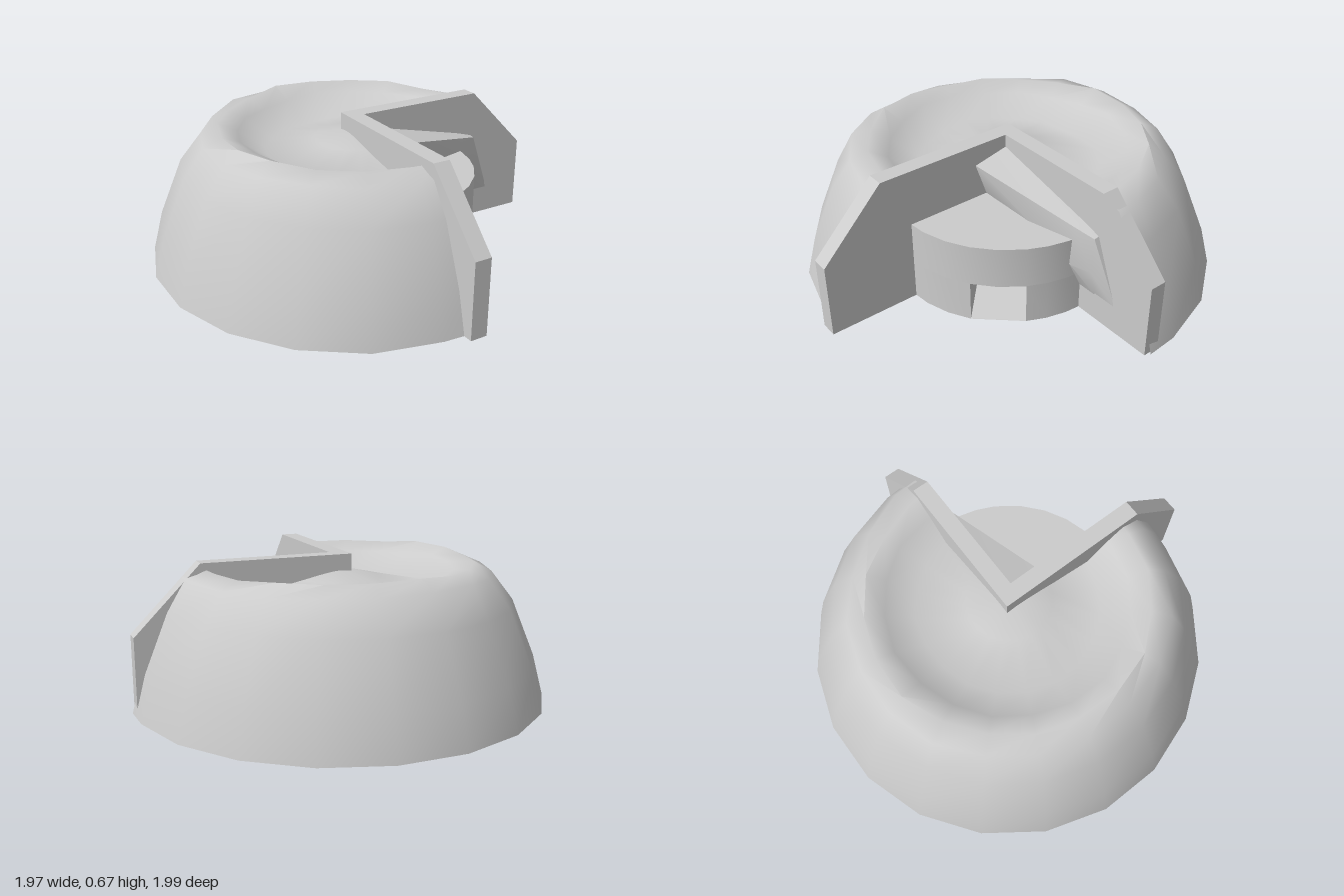
import * as THREE from 'three';
import { mergeVertices, toCreasedNormals } from 'three/addons/utils/BufferGeometryUtils.js';

const mat = new THREE.MeshStandardMaterial({ color: 0xcccccc });
const thin = new THREE.MeshStandardMaterial({ color: 0xcccccc, side: THREE.DoubleSide });

// Skin a grid of [x, y, z] cross-sections
function skin(rows) {
  const n = rows[0].length, index = [];
  for (let i = 0; i < rows.length - 1; i++) {
    for (let j = 0; j < n - 1; j++) {
      const a = i * n + j, b = a + n;
      index.push(a, b, b + 1, a, b + 1, a + 1);
    }
  }
  const g = new THREE.BufferGeometry();
  g.setAttribute('position', new THREE.Float32BufferAttribute(rows.flat(2), 3));
  g.setIndex(index);
  return g;
}

function part(group, name, geometry, crease, material = mat) {
  const mesh = new THREE.Mesh(toCreasedNormals(geometry, crease), material);
  mesh.name = name;
  group.add(mesh);
  return mesh;
}

// Three-quarter mound with a sunken top, closed underneath
function moundGeometry() {
  const profile = [[0, 0], [0.99, 0], [0.94, 0.19], [0.83, 0.46], [0.735, 0.6], [0.65, 0.64],
    [0.56, 0.6], [0.43, 0.51], [0.2, 0.56], [0, 0.605]];
  const angles = [90];
  for (let a = 99; a < 360; a += 18) angles.push(a);
  angles.push(360);
  return skin(angles.map((deg) => {
    const p = THREE.MathUtils.degToRad(deg);
    const size = 1 - 0.012 * Math.cos(p) - (deg > 340 ? 0.018 : 0);
    return profile.map(([r, y], j) => {
      // gentle unevenness around the rim and hollow
      const bump = j > 3 && j < 8 ? Math.sin(3 * p + j) + 0.7 * Math.sin(7 * p + 2 * j) : 0;
      const rr = r * size * (1 + 0.012 * bump);
      return [rr * Math.sin(p), y + 0.008 * bump, rr * Math.cos(p)];
    });
  }));
}

// Cut wall: flat top with a sloping outer corner, extruded along +z
function wallGeometry(start, corner, end, thickness) {
  const s = new THREE.Shape([[start, 0], [end, 0], [end, 0.36], [corner, 0.67], [start, 0.67]]
    .map(([x, y]) => new THREE.Vector2(x, y)));
  return new THREE.ExtrudeGeometry(s, { depth: thickness, bevelEnabled: false });
}

// Horizontal slab from an outline of [x, z] points
function slab(points, bottom, top) {
  const s = new THREE.Shape(points.map(([x, z]) => new THREE.Vector2(x, z)));
  return new THREE.ExtrudeGeometry(s, { depth: top - bottom, bevelEnabled: false })
    .rotateX(Math.PI / 2).translate(0, top, 0);
}

export function createModel() {
  const model = new THREE.Group();
  model.name = 'cutawayMound';

  part(model, 'mound', mergeVertices(moundGeometry()), 1.0);

  // Two walls lining the cut-out quarter
  part(model, 'sideWall', wallGeometry(-0.055, 0.67, 0.977, 0.08), 0.3).position.z = -0.055;
  const front = wallGeometry(-0.025, 0.7, 1, 0.08).rotateY(-Math.PI / 2);
  part(model, 'frontWall', front, 0.3).position.x = 0.025;

  // Quarter drum with a doorway facing the open corner
  const drum = new THREE.Group();
  drum.name = 'drum';
  model.add(drum);
  const arc = (list) => list.map((d) => {
    const a = THREE.MathUtils.degToRad(d);
    return [0.563 * Math.cos(a), 0.563 * Math.sin(a)];
  });
  const near = arc([0, 10, 20, 29.7]), far = arc([55.2, 67, 79, 90]);
  const A = near[3], B = far[0];
  const inward = ([x, z]) => [x - 0.155, z - 0.155];
  const A2 = inward(A), B2 = inward(B);
  part(drum, 'drumTop', slab([[0, 0], ...near, ...arc([42.5]), ...far], 0.2, 0.4), 0.5);
  part(drum, 'drumBase', slab([[0, 0], ...near, A2, B2, ...far], 0, 0.2), 0.5);
  const edge = (p, q, y) => [[p[0], y, p[1]], [q[0], y, q[1]]];
  part(drum, 'doorRamp', skin([edge(A, B, 0.003), edge(A2, B2, 0.045),
    edge(A2, B2, 0), edge(A, B, 0)]), 0.3, thin);

  // Sloping mass that bulges through the side wall above the drum
  const sections = [
    [0.02, [0.61, 0.02], [0.57, 0.2], [0.4, 0.14], [0.12, 0.02]],
    [0.56, [0.48, 0.02], [0.465, 0.075], [0.27, 0.09], [0.12, 0.02]],
    [0.66, [0.45, 0.02], [0.445, 0.05], [0.27, 0.06], [0.12, 0.02]],
    [0.79, [0.12, 0.02], [0.12, 0.02], [0.12, 0.02], [0.12, 0.02]],
  ];
  part(model, 'innerBulge', skin(sections.map(([x, ...pts]) =>
    pts.map(([y, z]) => [x, y, z]))), 0.5, thin);

  return model;
}
